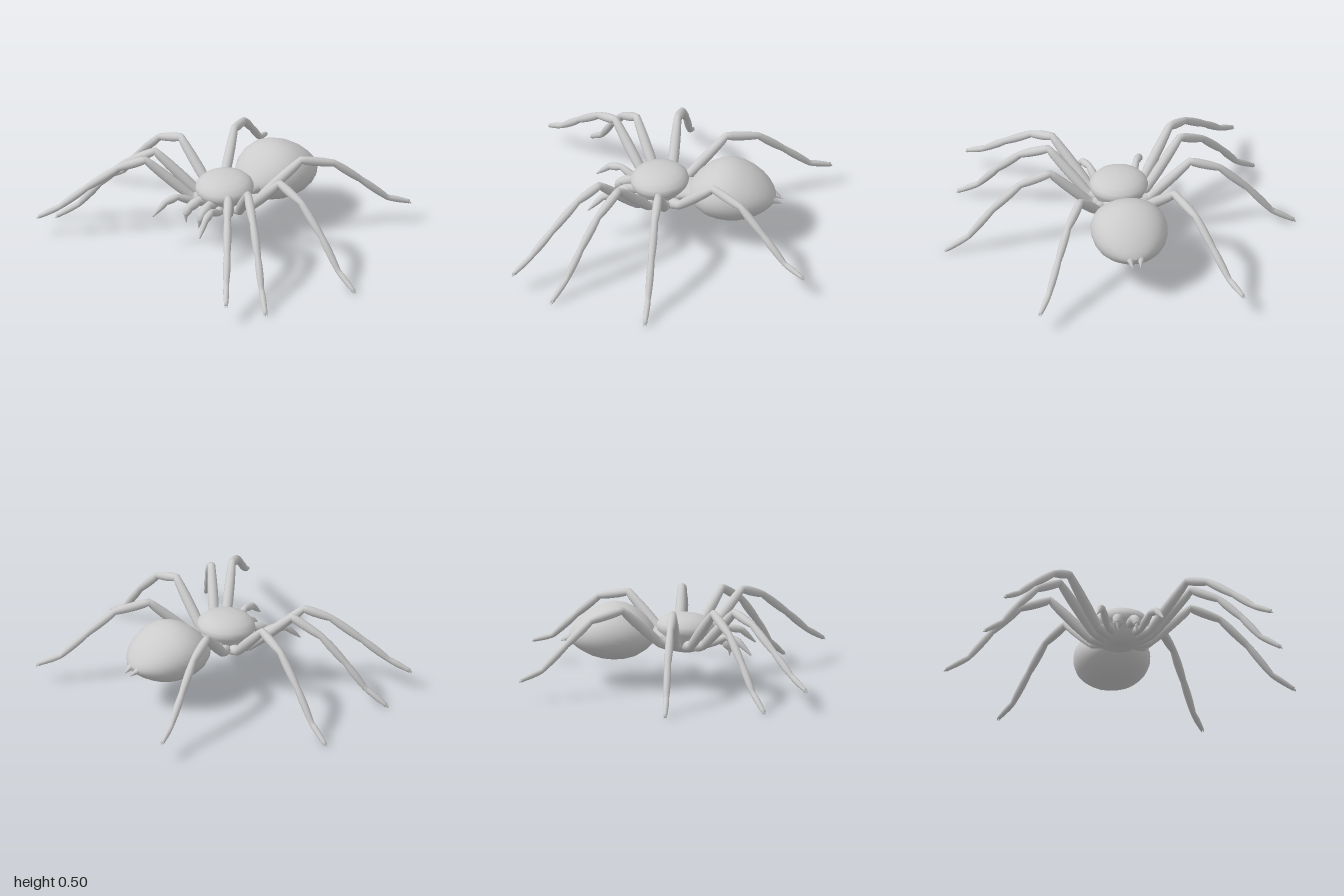
import * as THREE from 'three';

const material = new THREE.MeshStandardMaterial({ color: 0xcccccc });
const V = (x, y, z) => new THREE.Vector3(x, y, z);

// Skin over elliptical rings; each ring is { c, u, v } with u x v along the path.
function loft(rings, sides) {
  const pos = [], index = [];
  rings.forEach(({ c, u, v }, i) => {
    for (let j = 0; j < sides; j++) {
      const a = (j / sides) * Math.PI * 2;
      const p = c.clone().addScaledVector(u, Math.cos(a)).addScaledVector(v, Math.sin(a));
      pos.push(p.x, p.y, p.z);
      if (i === rings.length - 1) continue;
      const k = (j + 1) % sides, n = i * sides;
      index.push(n + j, n + k, n + sides + k, n + j, n + sides + k, n + sides + j);
    }
  });
  const g = new THREE.BufferGeometry();
  g.setAttribute('position', new THREE.Float32BufferAttribute(pos, 3));
  g.setIndex(index);
  g.computeVertexNormals();
  return g;
}

// Jointed limb: every segment swells in the middle and narrows at its joints.
function limb(points, radii, sides = 12) {
  const last = points.length - 1;
  const along = points[last].clone().sub(points[0]).setY(0).normalize();
  const side = along.clone().cross(V(0, 1, 0)).normalize();
  const dirs = points.slice(1).map((p, i) => p.clone().sub(points[i]).normalize());
  const rings = [];
  const add = (c, t, r) => rings.push({
    c, u: side.clone().multiplyScalar(r),
    v: t.clone().cross(side).normalize().multiplyScalar(r),
  });
  add(points[0].clone(), dirs[0], 0.0005);
  for (let i = 0; i < last; i++) {
    const joint = i ? dirs[i].clone().add(dirs[i - 1]).normalize() : dirs[0];
    add(points[i].clone(), joint, radii[i] * (i ? 0.9 : 1));
    for (const [t, swell] of [[0.12, 1], [0.35, 1.13], [0.65, 1.12], [0.88, 1]]) {
      add(points[i].clone().lerp(points[i + 1], t), dirs[i],
        THREE.MathUtils.lerp(radii[i], radii[i + 1], t) * swell);
    }
  }
  add(points[last].clone(), dirs[last - 1], radii[last]);
  add(points[last].clone().addScaledVector(dirs[last - 1], radii[last] * 0.3), dirs[last - 1], 0.0005);
  return loft(rings, sides);
}

function spike(from, to, r) {
  return limb([from, to], [r, 0.001], 8);
}

export function createModel() {
  const model = new THREE.Group();
  const add = (name, geometry, parent = model) => {
    const mesh = new THREE.Mesh(geometry, material);
    mesh.name = name;
    parent.add(mesh);
    return mesh;
  };

  // Domed head and thorax, flat beneath
  const profile = [[0.001, 0.2], [0.06, 0.2], [0.1, 0.215], [0.13, 0.25], [0.145, 0.29], [0.16, 0.315],
    [0.166, 0.335], [0.16, 0.358], [0.135, 0.385], [0.095, 0.403], [0.05, 0.412], [0.001, 0.415]];
  const thorax = add('cephalothorax', new THREE.LatheGeometry(
    profile.map(([r, y]) => new THREE.Vector2(r, y - 0.3)), 40));
  thorax.position.set(0, 0.3, 0.08);
  thorax.rotation.x = 0.06;

  // Waist
  const ringZ = ([z, top, bottom, rx]) => ({
    c: V(0, (top + bottom) / 2, z), u: V(rx, 0, 0), v: V(0, (bottom - top) / 2, 0),
  });
  add('waist', loft([[0, 0.33, 0.24, 0.11], [-0.08, 0.33, 0.25, 0.095], [-0.16, 0.34, 0.24, 0.11]]
    .map(ringZ), 24));

  // Abdomen: z, top, bottom, half width
  const stations = [[-0.085, 0.291, 0.289, 0.001], [-0.09, 0.32, 0.26, 0.06], [-0.105, 0.345, 0.24, 0.1],
    [-0.14, 0.39, 0.205, 0.145], [-0.2, 0.44, 0.168, 0.19], [-0.26, 0.467, 0.152, 0.211],
    [-0.32, 0.476, 0.147, 0.218], [-0.38, 0.462, 0.152, 0.212], [-0.44, 0.436, 0.167, 0.193],
    [-0.49, 0.402, 0.19, 0.163], [-0.53, 0.365, 0.214, 0.126], [-0.56, 0.327, 0.238, 0.082],
    [-0.575, 0.3, 0.255, 0.045], [-0.58, 0.28, 0.278, 0.001]];
  add('abdomen', loft(stations.map(ringZ), 40));

  // Legs: waypoints from body to foot as x, y, z on the left side
  const legs = {
    frontLeg: [[0.07, 0.24, 0.13], [0.15, 0.26, 0.195], [0.335, 0.49, 0.38], [0.44, 0.44, 0.49],
      [0.57, 0.31, 0.62], [0.67, 0.195, 0.725], [0.755, 0.13, 0.81]],
    secondLeg: [[0.07, 0.24, 0.08], [0.165, 0.26, 0.125], [0.375, 0.49, 0.265], [0.52, 0.395, 0.365],
      [0.64, 0.25, 0.445], [0.735, 0.11, 0.51], [0.84, 0.02, 0.58]],
    thirdLeg: [[0.06, 0.24, 0.035], [0.17, 0.26, 0.035], [0.4, 0.485, 0.035], [0.57, 0.425, 0.033],
      [0.73, 0.27, 0.03], [0.865, 0.1, 0.03], [0.99, 0.02, 0.03]],
    rearLeg: [[0.07, 0.24, 0.05], [0.145, 0.27, -0.055], [0.27, 0.48, -0.26], [0.365, 0.435, -0.43],
      [0.44, 0.31, -0.565], [0.515, 0.175, -0.7], [0.578, 0.132, -0.81]],
  };
  const legRadii = [0.03, 0.028, 0.024, 0.021, 0.02, 0.017, 0.012];

  for (const s of [1, -1]) {
    const prefix = s > 0 ? 'left' : 'right';
    const P = ([x, y, z]) => V(s * x, y, z);

    for (const [name, path] of Object.entries(legs)) {
      const leg = new THREE.Group();
      leg.name = `${prefix} ${name}`;
      model.add(leg);
      const pts = path.map(P);
      add('legSegments', limb(pts, legRadii), leg);
      // Pair of small claws at the foot
      const foot = pts[6], dir = foot.clone().sub(pts[5]).setY(0).normalize();
      const across = V(-dir.z, 0, dir.x);
      for (const k of [-1, 1]) {
        const root = foot.clone().addScaledVector(across, k * 0.006);
        add('claw', spike(root, root.clone().addScaledVector(dir, 0.013).add(V(0, -0.012, 0)), 0.005), leg);
      }
    }

    // Feelers beside the mouth
    add(`${prefix} feeler`, limb([[0.06, 0.25, 0.17], [0.1, 0.26, 0.23], [0.135, 0.308, 0.32],
      [0.16, 0.29, 0.39], [0.188, 0.215, 0.465]].map(P), [0.025, 0.021, 0.019, 0.02, 0.005]));

    // Jaw with a downward fang
    add(`${prefix} jaw`, limb([[0.03, 0.28, 0.17], [0.042, 0.29, 0.25], [0.053, 0.265, 0.31],
      [0.057, 0.225, 0.335]].map(P), [0.026, 0.026, 0.026, 0.016]));
    add(`${prefix} fang`, spike(P([0.057, 0.235, 0.333]), P([0.05, 0.18, 0.336]), 0.014));

    // Spinneret at the tail
    add(`${prefix} spinneret`, spike(P([0.036, 0.285, -0.54]), P([0.022, 0.25, -0.622]), 0.026));
  }
  return model;
}
